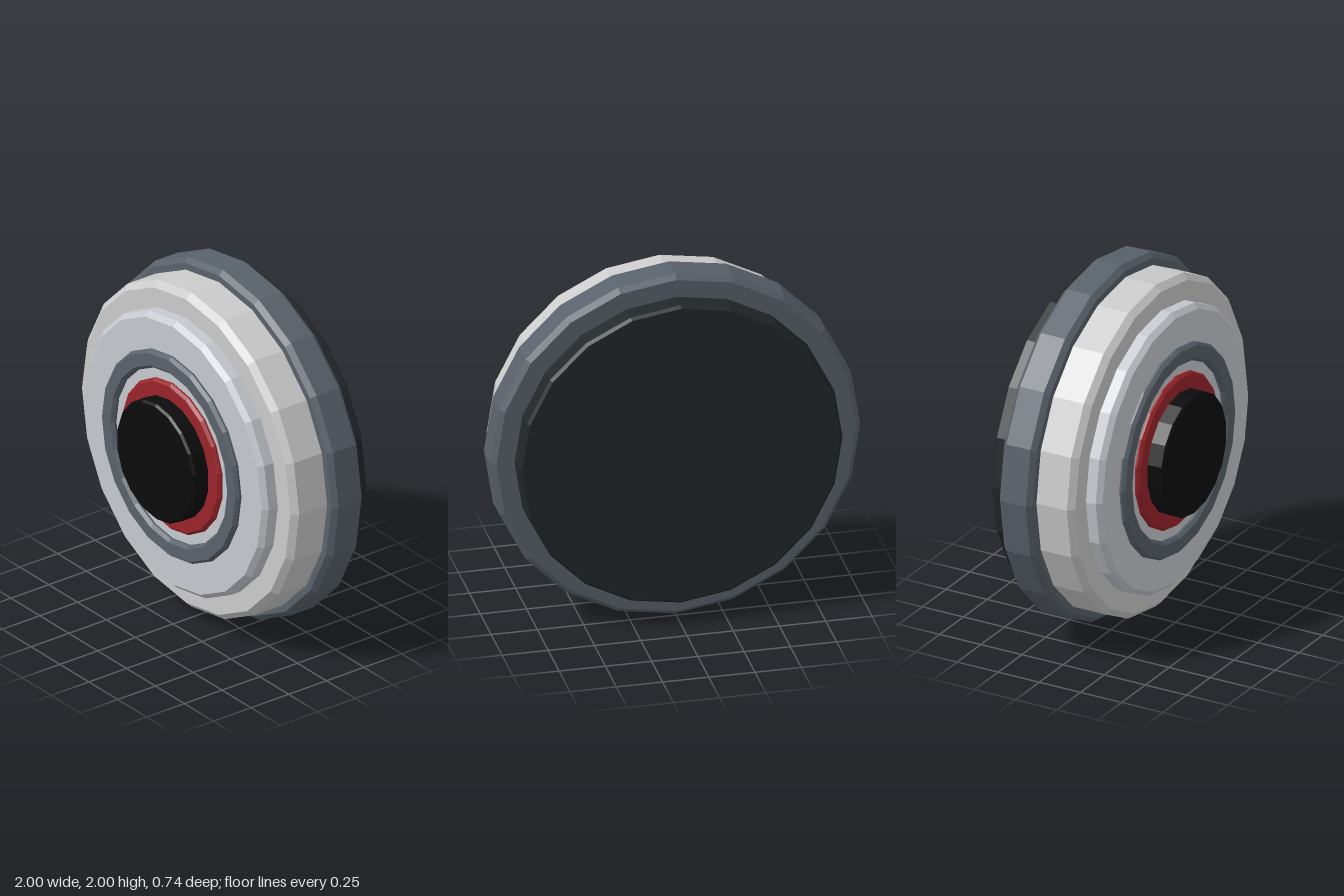
import * as THREE from 'three';

const mat = (color) => new THREE.MeshStandardMaterial({ color, flatShading: true });

// Turned part: profile of [radius, z] from back to front, spun round the z axis
function turned(name, profile, sides, material) {
  const geo = new THREE.LatheGeometry(profile.map(([r, z]) => new THREE.Vector2(r, z)), sides);
  geo.rotateX(Math.PI / 2);
  const mesh = new THREE.Mesh(geo, material);
  mesh.name = name;
  return mesh;
}

// Solid disc with chamfered rims (b = back chamfer, f = front chamfer)
const disc = (r, z0, z1, b, f) => [
  [0, z0], [r - b, z0], [r, z0 + b], [r, z1 - f], [r - f, z1], [0, z1],
];

export function createModel() {
  const group = new THREE.Group();
  group.name = 'roundDevice';
  const slate = mat(0x59616a);

  group.add(
    // Stack of discs, from the back to the front
    turned('backPlate', disc(0.875, -0.37, -0.24, 0.015, 0.01), 20, mat(0x22272a)),
    turned('outerRim', disc(1, -0.255, -0.055, 0.027, 0.027), 20, slate),
    turned('body', disc(0.935, -0.1, 0.163, 0.02, 0.033), 20, mat(0xdadada)),
    turned('facePlate', disc(0.793, 0.1, 0.25, 0.02, 0.027), 20, mat(0xc6c9cf)),
    // Raised ring around the button, open in the middle
    turned('faceRing', [
      [0.5, 0.24], [0.592, 0.24], [0.592, 0.262], [0.577, 0.28],
      [0.507, 0.28], [0.49, 0.262], [0.49, 0.24], [0.5, 0.24],
    ], 20, slate),
    // Coloured collar and protruding button
    turned('buttonCollar', disc(0.433, 0.23, 0.275, 0.01, 0.015), 18, mat(0x9a242a)),
    turned('button', disc(0.342, 0.24, 0.37, 0.01, 0.012), 18, mat(0x0c0c0c)),
  );

  group.position.y = 1;
  const root = new THREE.Group();
  root.add(group);
  return root;
}
